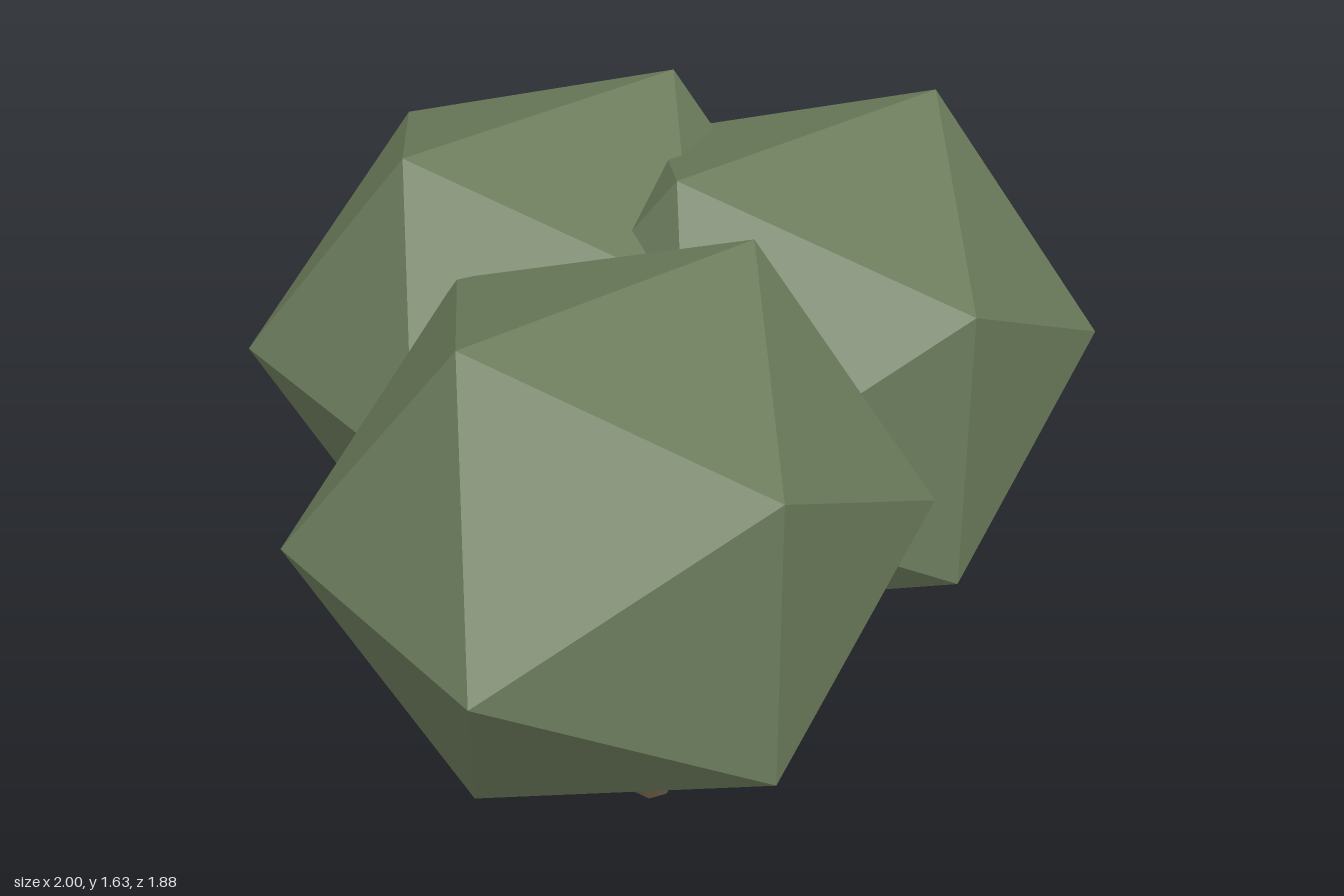
import * as THREE from 'three';

const leafGreen = new THREE.MeshStandardMaterial({ color: 0x6c7c5c });
leafGreen.name = 'leaf green';
const barkBrown = new THREE.MeshStandardMaterial({ color: 0x6e5f49 });
barkBrown.name = 'bark brown';

const CROWN_Y = 1.0625;
const BASE = new THREE.Vector3(-0.06, 0.02, 0.082);

// Faceted leaf mass, slightly wider along x
function makeCrown(name, x, z) {
  const geometry = new THREE.IcosahedronGeometry(1, 0).scale(0.714, 0.661, 0.661);
  const crown = new THREE.Mesh(geometry, leafGreen);
  crown.name = name;
  crown.position.set(x, CROWN_Y, z);
  return crown;
}

// Tapered stem leaning from the shared base into its crown
function makeStem(name, x, z) {
  const reach = new THREE.Vector3(x, CROWN_Y, z).sub(BASE).multiplyScalar(0.85);
  const length = reach.length();
  const geometry = new THREE.CylinderGeometry(0.045, 0.058, length, 8);
  geometry.translate(0, length / 2, 0);
  const stem = new THREE.Mesh(geometry, barkBrown);
  stem.name = name;
  stem.position.copy(BASE);
  stem.quaternion.setFromUnitVectors(new THREE.Vector3(0, 1, 0), reach.normalize());
  return stem;
}

export function createModel() {
  const tree = new THREE.Group();
  tree.name = 'tree';
  const branches = [
    ['front', -0.392, 0.376],
    ['left', 0.392, 0.07],
    ['back', -0.02, -0.379],
  ];
  for (const [side, x, z] of branches) {
    tree.add(makeCrown(side + 'Crown', x, z), makeStem(side + 'Stem', x, z));
  }
  return tree;
}
